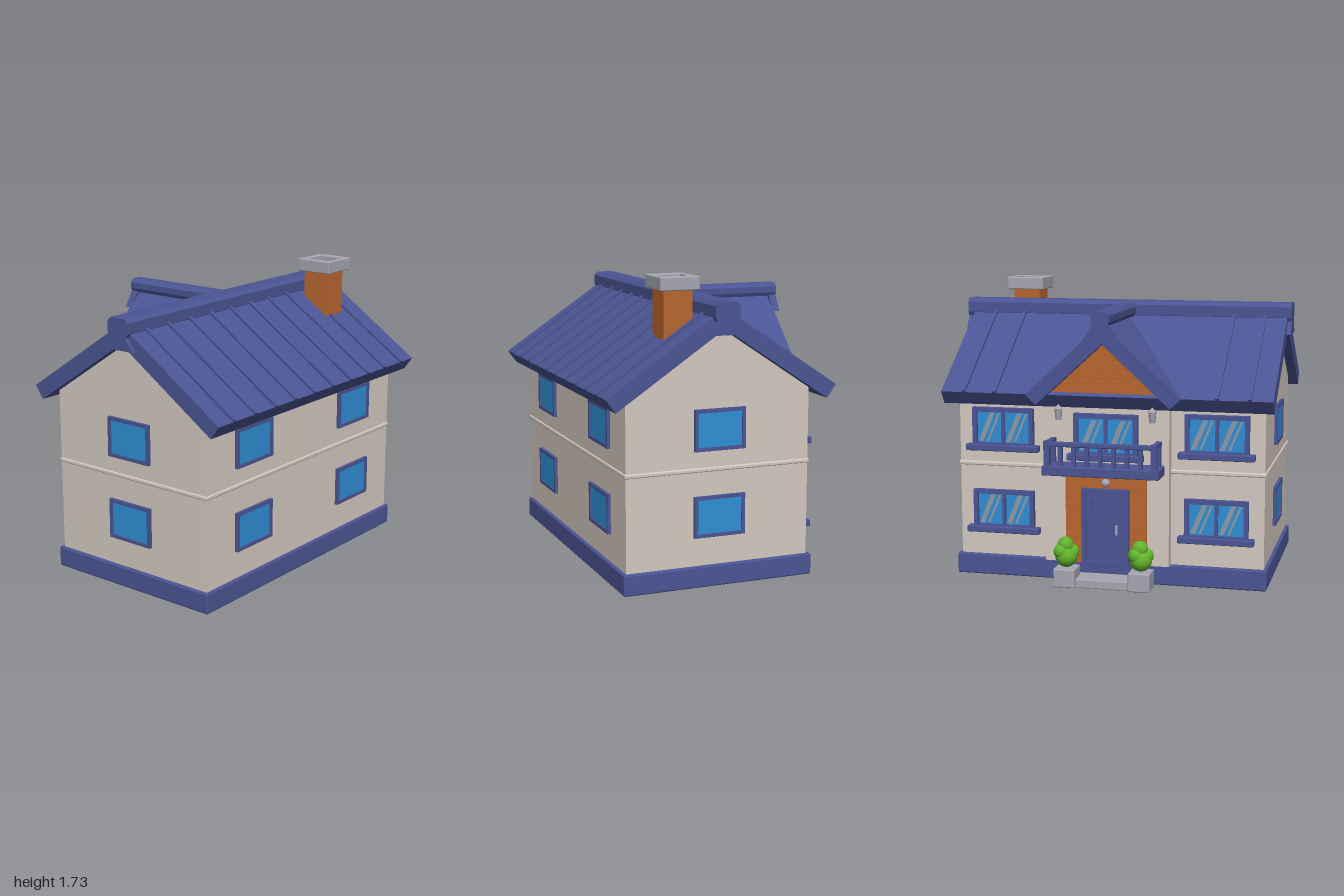
import * as THREE from 'three';
import { RoundedBoxGeometry } from 'three/addons/geometries/RoundedBoxGeometry.js';

const mat = (name, color, extra = {}) => Object.assign(new THREE.MeshStandardMaterial({ color, ...extra }), { name });
const blue = mat('slate blue', 0x4b5594);
const cream = mat('cream wall', 0xd4cac1);
const glass = mat('window blue', 0x2f8fd6);
const wood = mat('wood brown', 0xba672f);
const stone = mat('stone grey', 0xa6a6b2);
const leaf = mat('leaf green', 0x62b42c);
const glare = mat('glass glare', 0x8f9aa6);

const CX = -0.013; // centre line of the house
const CZ = 0.042; // ridge line

function add(parent, name, geometry, material) {
  const mesh = new THREE.Mesh(geometry, material);
  mesh.name = name;
  parent.add(mesh);
  return mesh;
}

// Box given by its limits, optionally with softened edges
function block(parent, name, material, [x0, x1], [y0, y1], [z0, z1], r = 0) {
  const size = [x1 - x0, y1 - y0, z1 - z0];
  const g = r ? new RoundedBoxGeometry(...size, 2, r) : new THREE.BoxGeometry(...size);
  const mesh = add(parent, name, g, material);
  mesh.position.set((x0 + x1) / 2, (y0 + y1) / 2, (z0 + z1) / 2);
  return mesh;
}

const polygon = (pts) => new THREE.Shape(pts.map(([x, y]) => new THREE.Vector2(x, y)));
const extrude = (shape, depth) => new THREE.ExtrudeGeometry(shape, { depth, bevelEnabled: false });

function rectShape(w, h, border) {
  const ring = (a, b) => [[-a, -b], [a, -b], [a, b], [-a, b]];
  const s = polygon(ring(w / 2, h / 2));
  if (border) s.holes.push(polygon(ring(w / 2 - border, h / 2 - border)));
  return s;
}

// Window facing local +z, standing on the wall plane z = 0
function makeWindow(parent, name, w, h, x, y, z, turn, fancy) {
  const g = new THREE.Group();
  g.name = name;
  g.position.set(x, y, z);
  g.rotation.y = turn;
  parent.add(g);
  add(g, 'windowFrame', extrude(rectShape(w, h, fancy ? 0.026 : 0.02), fancy ? 0.035 : 0.02), blue);
  block(g, 'windowGlass', glass, [-w / 2 + 0.01, w / 2 - 0.01], [-h / 2 + 0.01, h / 2 - 0.01], [0, 0.012]);
  if (!fancy) return;
  block(g, 'mullion', blue, [-0.01, 0.01], [-h / 2, h / 2], [0, 0.028]);
  block(g, 'windowSill', blue, [-w / 2 - 0.035, w / 2 + 0.035], [-h / 2 - 0.02, -h / 2 + 0.018], [0, 0.058], 0.006);
  for (const side of [-1, 1]) {
    for (const [off, t] of [[-0.025, 0.03], [0.025, 0.014]]) {
      const s = polygon([[off - 0.045, -0.085], [off - 0.045 + t, -0.085], [off + 0.025 + t, 0.085], [off + 0.025, 0.085]]);
      add(g, 'glassGlare', extrude(s, 0.002), glare).position.set(side * w * 0.225, 0, 0.012);
    }
  }
}

// Two sloping slabs meeting at a ridge; profile in x-y, length along +z
function gableRoof(half, eaveY, apexY, inHalf, inY, inApex, length) {
  return extrude(polygon([[-half, eaveY], [-inHalf, inY], [0, inApex], [inHalf, inY], [half, eaveY], [0, apexY]]), length);
}

// Chamfered ridge beam with a flared knee at its ends
function ridge(parent, half, y0, y1, length, kneeAt) {
  const c = 0.022;
  add(parent, 'ridgeBeam', extrude(polygon([[-half, y0 + c], [-half + c / 2, y0], [half - c / 2, y0], [half, y0 + c],
    [half, y1 - c], [half - c, y1], [-half + c, y1], [-half, y1 - c]]), length), blue);
  const knee = polygon([[-0.105, 1.425], [0.105, 1.425], [0.045, y0 + 0.005], [-0.045, y0 + 0.005]]);
  for (const z of kneeAt) add(parent, 'ridgeKnee', extrude(knee, 0.045), blue).position.z = z;
}

export function createModel() {
  const house = new THREE.Group();
  house.name = 'house';

  // Foundation, walls and string course
  block(house, 'foundation', blue, [-0.94, 0.913], [0, 0.122], [-0.53, 0.615], 0.01);
  const walls = extrude(polygon([[-0.553, 0.1], [0.547, 0.1], [0.547, 1.095], [0, 1.46], [-0.553, 1.095]]), 1.81);
  const wallMesh = add(house, 'walls', walls, cream);
  wallMesh.rotation.y = Math.PI / 2;
  wallMesh.position.set(-0.92, 0, CZ);
  block(house, 'stringCourse', cream, [-0.928, 0.9], [0.657, 0.682], [-0.513, 0.603], 0.008);

  // Main roof
  const roof = new THREE.Group();
  roof.name = 'mainRoof';
  roof.rotation.y = Math.PI / 2;
  roof.position.set(-0.975, 0, CZ);
  house.add(roof);
  add(roof, 'roofSlabs', gableRoof(0.685, 1.11, 1.567, 0.63, 1.035, 1.455, 1.93), blue);
  const beam = new THREE.Group();
  beam.name = 'mainRidge';
  beam.position.z = -0.025;
  roof.add(beam);
  ridge(beam, 0.073, 1.5, 1.605, 1.995, [0, 1.95]);

  // Roof seams, with the rear ones left out behind the dormer
  const slope = Math.atan2(0.457, 0.685);
  for (let i = 0; i < 10; i++) {
    const x = -0.845 + i * 0.1845;
    for (const side of [1, -1]) {
      if (side < 0 && i > 1 && i < 8) continue;
      const seam = add(house, 'roofSeam', new THREE.BoxGeometry(0.02, 0.028, 0.76), blue);
      seam.position.set(x, 1.567 - 0.37 * 0.667, CZ + side * 0.37);
      seam.rotation.x = side * slope;
    }
  }

  // Rear dormer
  const dormer = new THREE.Group();
  dormer.name = 'dormer';
  dormer.position.x = CX;
  house.add(dormer);
  add(dormer, 'dormerSlabs', gableRoof(0.45, 1.112, 1.53, 0.388, 1.055, 1.41, 0.655), blue).position.z = -0.675;
  const dormerRidge = new THREE.Group();
  dormerRidge.name = 'dormerRidge';
  dormerRidge.position.z = -0.715;
  dormer.add(dormerRidge);
  ridge(dormerRidge, 0.052, 1.515, 1.595, 0.715, [0]);
  const halfAt = (y) => Math.max(0.005, (1.44 - y) * 1.08);
  add(dormer, 'gableBacking', extrude(polygon([[-halfAt(1.08), 1.08], [halfAt(1.08), 1.08], [0, 1.44]]), 0.1), wood).position.z = -0.61;
  for (let y = 1.09; y < 1.42; y += 0.055) {
    const a = halfAt(y), b = halfAt(y + 0.049);
    add(dormer, 'gableBoard', extrude(polygon([[-a, y], [a, y], [b, y + 0.049], [-b, y + 0.049]]), 0.012), wood).position.z = -0.62;
  }

  // Chimney with a hollow stone cap
  block(house, 'chimney', wood, [0.59, 0.755], [1.3, 1.655], [0.15, 0.32]);
  for (const s of [-1, 1]) {
    const x = 0.674 + s * 0.095, z = 0.235 + s * 0.097;
    block(house, 'chimneyCapSide', stone, [x - 0.02, x + 0.02], [1.652, 1.73], [0.118, 0.352], 0.008);
    block(house, 'chimneyCapEnd', stone, [0.57, 0.778], [1.655, 1.728], [z - 0.019, z + 0.019], 0.006);
  }

  // Windows on every side, two storeys
  for (const y of [0.4, 0.89]) {
    for (const x of [-0.507, 0.482]) makeWindow(house, 'frontWindow', 0.325, 0.23, x, y, 0.594, 0, false);
    makeWindow(house, 'leftWindow', 0.305, 0.235, 0.889, y + 0.003, 0.043, Math.PI / 2, false);
    makeWindow(house, 'rightWindow', 0.305, 0.235, -0.919, y + 0.003, 0.043, -Math.PI / 2, false);
    for (const s of [-1, 1]) makeWindow(house, 'rearWindow', 0.37, 0.235, CX + s * 0.633, y, -0.502, Math.PI, true);
  }

  // Rear entrance bay with boarded centre
  block(house, 'entranceBay', cream, [CX - 0.367, CX + 0.367], [0.122, 1.06], [-0.57, -0.48]);
  makeWindow(house, 'balconyWindow', 0.375, 0.25, CX, 0.877, -0.568, Math.PI, true);
  for (let i = 0; i < 9; i++) {
    const y = 0.123 + i * 0.059;
    block(house, 'wallBoard', wood, [CX - 0.24, CX + 0.24], [y, y + 0.053], [-0.582, -0.56]);
  }
  block(house, 'wallBoardBacking', wood, [CX - 0.24, CX + 0.24], [0.122, 0.655], [-0.574, -0.56]);

  // Door
  const door = new THREE.Group();
  door.name = 'door';
  door.position.set(CX, 0.343, -0.575);
  door.rotation.y = Math.PI;
  house.add(door);
  add(door, 'doorFrame', extrude(rectShape(0.28, 0.45, 0.026), 0.036), blue);
  block(door, 'doorLeaf', blue, [-0.12, 0.12], [-0.22, 0.205], [0, 0.02]);
  add(door, 'doorPanel', extrude(rectShape(0.175, 0.355, 0.014), 0.006), blue).position.z = 0.02;
  block(door, 'doorHandle', stone, [0.058, 0.074], [-0.045, 0.015], [0.02, 0.036], 0.006);

  // Wall lamps
  function lamp(x, y) {
    block(house, 'lampBracket', stone, [x - 0.015, x + 0.015], [y - 0.015, y + 0.035], [-0.595, -0.568]);
    const shade = add(house, 'lampShade', new THREE.CylinderGeometry(0.024, 0.017, 0.065, 8), stone);
    shade.position.set(x, y, -0.6);
    add(house, 'lampCap', new THREE.ConeGeometry(0.026, 0.025, 8), stone).position.set(x, y + 0.045, -0.6);
  }
  for (const s of [-1, 1]) lamp(CX + s * 0.275, 0.995);
  const doorLamp = add(house, 'doorLamp', new THREE.SphereGeometry(0.026, 12, 8), stone);
  doorLamp.position.set(CX, 0.602, -0.59);

  // Balcony
  block(house, 'balconyFloor', blue, [CX - 0.34, CX + 0.34], [0.66, 0.715], [-0.735, -0.565], 0.006);
  block(house, 'balconyRail', blue, [CX - 0.325, CX + 0.325], [0.828, 0.855], [-0.733, -0.7], 0.006);
  for (const s of [-1, 1]) {
    const x = CX + s * 0.31;
    block(house, 'balconySideRail', blue, [x - 0.015, x + 0.015], [0.83, 0.855], [-0.72, -0.57]);
    block(house, 'balconyWallPost', blue, [x - 0.015, x + 0.015], [0.7, 0.855], [-0.608, -0.58]);
    block(house, 'balconyCornerPost', blue, [x - 0.017, x + 0.017], [0.7, 0.86], [-0.734, -0.699]);
  }
  for (let i = -3; i <= 3; i++) {
    const x = CX + i * 0.0775;
    block(house, 'baluster', blue, [x - 0.012, x + 0.012], [0.7, 0.84], [-0.728, -0.704]);
  }

  // Door step, planters and bushes
  block(house, 'doorStep', stone, [CX - 0.17, CX + 0.17], [0, 0.05], [-0.69, -0.53], 0.005);
  for (const s of [-1, 1]) {
    const x = CX + s * 0.22;
    block(house, 'planter', stone, [x - 0.064, x + 0.064], [0, 0.11], [-0.71, -0.578], 0.008);
    for (const [dx, y, dz, r] of [[0, 0.175, 0, 0.065], [0.005, 0.24, 0, 0.047], [0.025, 0.205, -0.02, 0.045], [-0.03, 0.2, 0.015, 0.042]]) {
      add(house, 'bush', new THREE.SphereGeometry(r, 18, 12), leaf).position.set(x + dx, y, -0.645 + dz);
    }
  }
  return house;
}
